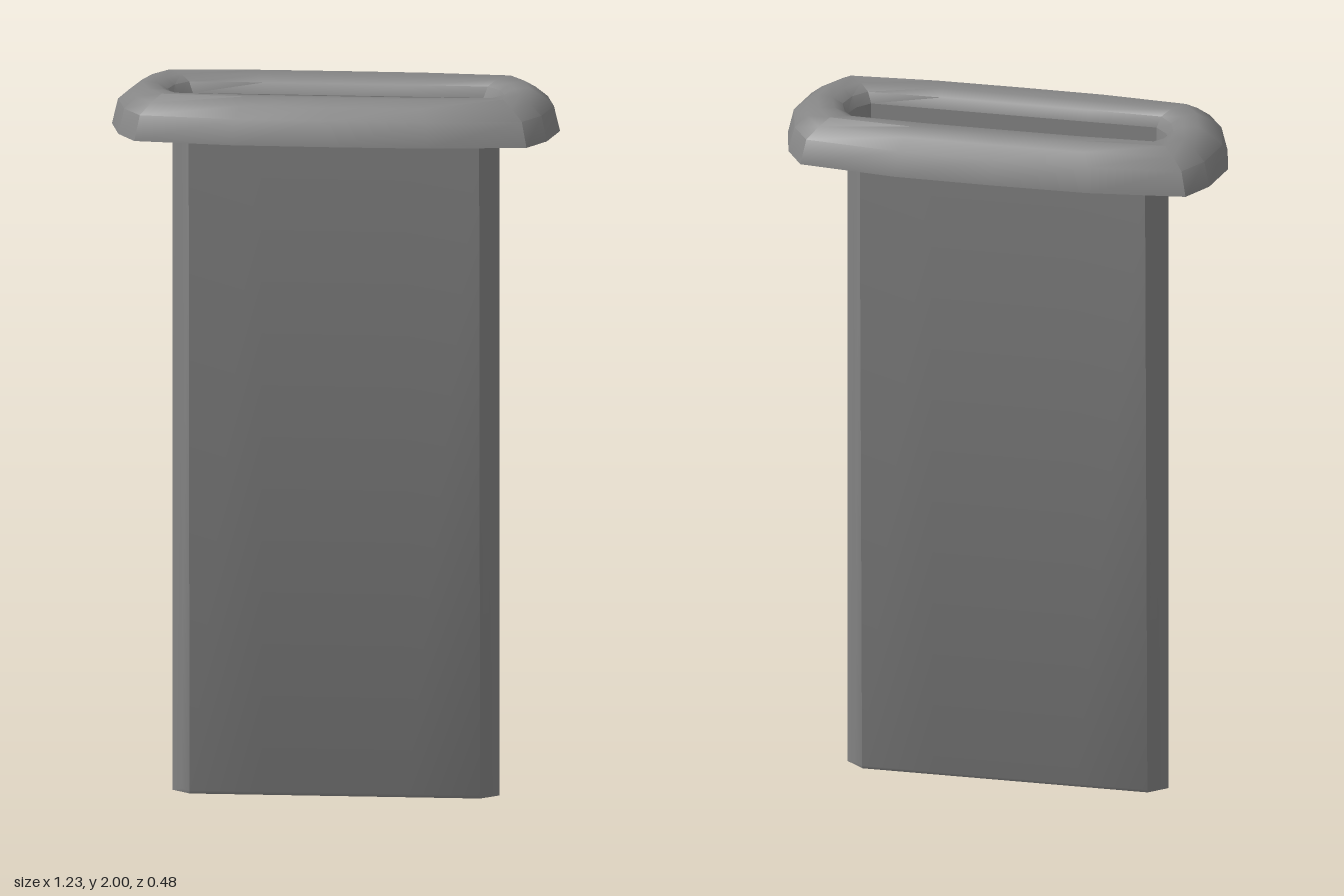
import * as THREE from 'three';
import { toCreasedNormals } from 'three/addons/utils/BufferGeometryUtils.js';

const material = new THREE.MeshStandardMaterial({ color: 0x858585, side: THREE.DoubleSide });

// Mirrors a quarter outline (from the +x end to the +z side) into a closed ring.
function ring(y, quarter) {
  const half = [...quarter, ...quarter.slice(0, -1).reverse().map(([x, z]) => [-x, z])];
  const back = half.slice(1, -1).reverse().map(([x, z]) => [x, -z]);
  return [...half, ...back].map(([x, z]) => [x, y, z]);
}

// Skins a list of rings that all have the same number of points.
function loft(name, rings, crease) {
  const n = rings[0].length;
  const index = [];
  for (let r = 0; r < rings.length - 1; r++) {
    for (let j = 0; j < n; j++) {
      const a = r * n + j, b = r * n + (j + 1) % n;
      index.push(a, a + n, b, b, a + n, b + n);
    }
  }
  const geometry = new THREE.BufferGeometry();
  geometry.setAttribute('position', new THREE.Float32BufferAttribute(rings.flat(2), 3));
  geometry.setIndex(index);
  const mesh = new THREE.Mesh(toCreasedNormals(geometry, crease), material);
  mesh.name = name;
  return mesh;
}

export function createModel() {
  const group = new THREE.Group();
  group.name = 'sheath';

  const outer = [[0.617, 0], [0.59, 0.125], [0.54, 0.205], [0.27, 0.235], [0, 0.238]];
  const mouth = [[0.45, 0], [0.435, 0.045], [0.4, 0.08], [0.2, 0.08], [0, 0.08]];

  // Thin tapering sleeve with pointed edges, closed at the bottom, flaring into the mouth
  const section = (y, z) => ring(y, [[0.45, 0], [0.425, z / 2], [0.4, z], [0.2, z], [0, z]]);
  group.add(loft('sleeve', [
    section(0, 0),
    section(0, 0.04),
    section(0.01, 0.045),
    section(1.88, 0.077),
    ring(1.95, mouth),
  ], 0.45));

  // Hollow collar: outer skirt, bevel, top and lip turning down into the mouth
  const profile = [ // height, blend from mouth (0) to outer rim (1)
    [1.88, 1], [1.95, 0.9], [1.98, 0.69], [2, 0.5], [1.996, 0.25], [1.98, 0.08], [1.95, 0],
  ];
  group.add(loft('collar', profile.map(([y, t]) => ring(y, mouth.map(([x, z], i) => [
    THREE.MathUtils.lerp(x, outer[i][0], t),
    THREE.MathUtils.lerp(z, outer[i][1], t),
  ]))), 0.7));

  return group;
}
